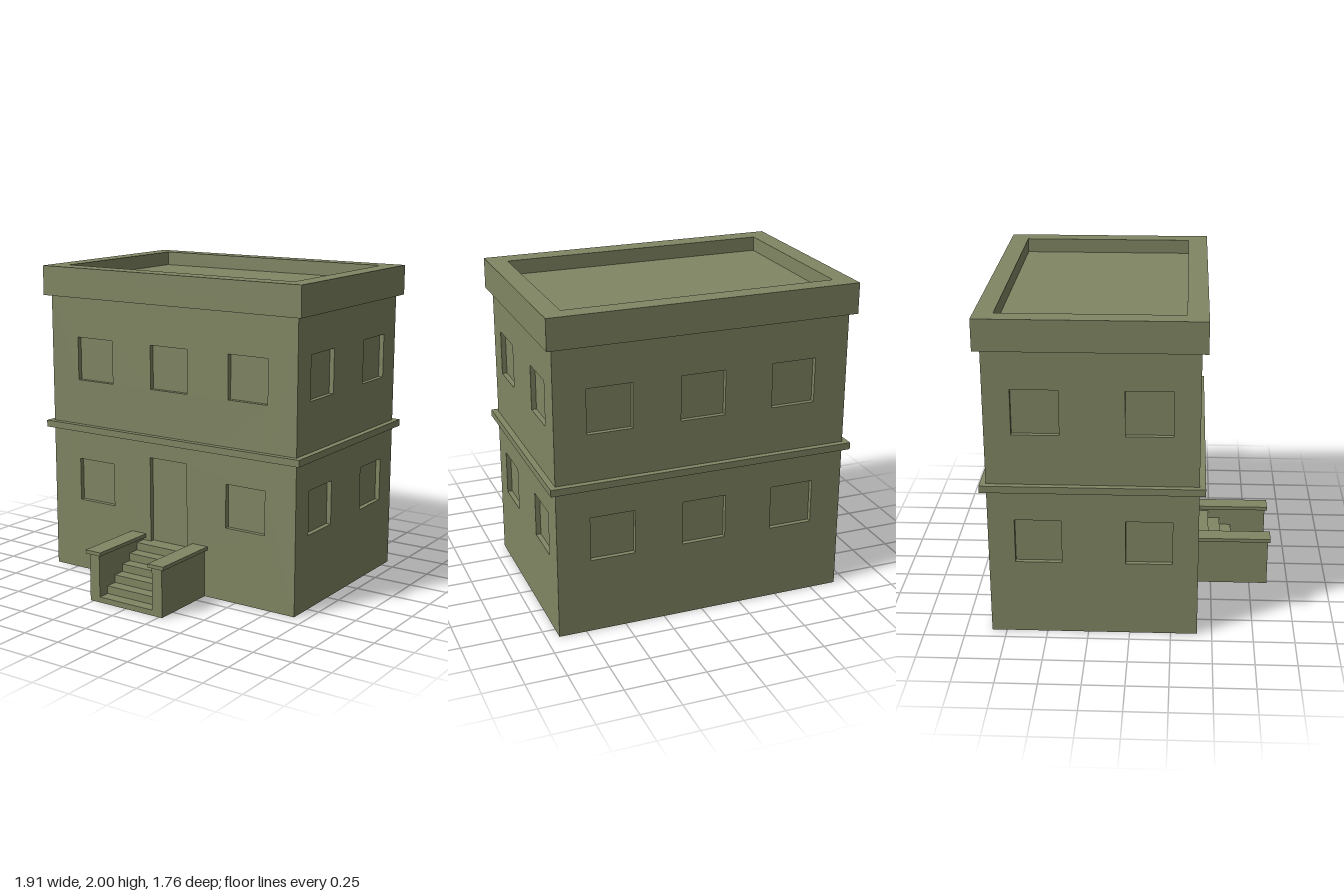
import * as THREE from 'three';

const material = new THREE.MeshStandardMaterial({ color: 0x808663, flatShading: true });
const stairMaterial = material.clone();
stairMaterial.side = THREE.DoubleSide;

const HALF_W = 0.92, FRONT = 0.41, BACK = -0.84, WALL_H = 1.82, RECESS = 0.03;
const MID_Z = (FRONT + BACK) / 2, DEPTH = FRONT - BACK;

function addMesh(parent, name, geometry, mat = material) {
  const mesh = new THREE.Mesh(geometry, mat);
  mesh.name = name;
  parent.add(mesh);
  return mesh;
}

// Box given by its limits on each axis
function addBox(parent, name, [x0, x1], [y0, y1], [z0, z1]) {
  const mesh = addMesh(parent, name, new THREE.BoxGeometry(x1 - x0, y1 - y0, z1 - z0));
  mesh.position.set((x0 + x1) / 2, (y0 + y1) / 2, (z0 + z1) / 2);
  return mesh;
}

function rectangle(Type, x0, x1, y0, y1) {
  return new Type([[x0, y0], [x1, y0], [x1, y1], [x0, y1]].map(p => new THREE.Vector2(...p)));
}

// Thin wall skin in the xy plane, facing +z, with rectangular openings
function wallGeometry(halfWidth, openings) {
  const shape = rectangle(THREE.Shape, -halfWidth, halfWidth, 0, WALL_H);
  shape.holes = openings.map(o => rectangle(THREE.Path, ...o));
  return new THREE.ExtrudeGeometry(shape, { depth: RECESS, bevelEnabled: false });
}

// Row of equal square windows, centred on the given positions
const windowRow = (centres, bottom) =>
  centres.map(c => [c - 0.139, c + 0.139, bottom, bottom + 0.278]);

export function createModel() {
  const model = new THREE.Group();
  model.name = 'building';

  // Core behind the wall skins: its faces are the window panes and the door
  addBox(model, 'panesAndDoor', [-HALF_W + RECESS, HALF_W - RECESS], [0, WALL_H],
    [BACK + RECESS, FRONT - RECESS]);

  // Front wall with door, back wall with six windows
  const front = addMesh(model, 'frontWall', wallGeometry(HALF_W, [
    ...windowRow([-0.57, 0.005, 0.58], 1.274),
    ...windowRow([-0.57, 0.567], 0.472),
    [-0.142, 0.138, 0.285, 0.835],
  ]));
  front.position.z = FRONT - RECESS;

  const back = addMesh(model, 'backWall', wallGeometry(HALF_W, [
    ...windowRow([-0.585, -0.01, 0.57], 1.274),
    ...windowRow([-0.575, 0.005, 0.585], 0.472),
  ]));
  back.rotation.y = Math.PI;
  back.position.z = BACK + RECESS;

  // Side walls, mirrored left and right
  for (const side of [1, -1]) {
    const centres = [0.117, -0.542].map(z => -side * (z - MID_Z));
    const wall = addMesh(model, side > 0 ? 'leftWall' : 'rightWall',
      wallGeometry(DEPTH / 2 - RECESS, [
        ...windowRow(centres, 1.294),
        ...windowRow(centres, 0.472),
      ]));
    wall.rotation.y = side * Math.PI / 2;
    wall.position.set(side * (HALF_W - RECESS), 0, MID_Z);
  }

  // Ledge between the storeys
  addBox(model, 'storeyLedge', [-0.957, 0.957], [0.94, 0.983], [-0.877, 0.447]);

  // Parapet ring and sunken roof
  const ring = rectangle(THREE.Shape, -0.957, 0.957, -0.447, 0.88);
  ring.holes.push(rectangle(THREE.Path, -0.838, 0.838, -0.323, 0.765));
  const parapet = addMesh(model, 'parapet',
    new THREE.ExtrudeGeometry(ring, { depth: 0.19, bevelEnabled: false }));
  parapet.rotation.x = -Math.PI / 2;
  parapet.position.y = 1.81;
  addBox(model, 'roof', [-0.838, 0.838], [1.81, 1.91], [-0.765, 0.323]);

  // Entrance steps: a folded sheet, open underneath
  const stairs = new THREE.Group();
  stairs.name = 'entranceStairs';
  model.add(stairs);
  const stepCount = 6, run = 0.0765, rise = 0.05, stairFront = 0.865;
  for (let i = 0; i < stepCount; i++) {
    const top = 0.035 + i * rise;
    const bottom = Math.max(0, top - rise);
    const z = stairFront - i * run;
    const riser = addMesh(stairs, 'riser', new THREE.PlaneGeometry(0.4, top - bottom), stairMaterial);
    riser.position.set(0, (top + bottom) / 2, z);
    const tread = addMesh(stairs, 'tread', new THREE.PlaneGeometry(0.4, run), stairMaterial);
    tread.rotation.x = -Math.PI / 2;
    tread.position.set(0, top, z - run / 2);
  }

  // Solid side walls of the stairs with overhanging caps
  for (const side of [1, -1]) {
    const span = (a, b) => (side > 0 ? [a, b] : [-b, -a]);
    addBox(stairs, 'stairWall', span(0.2, 0.273), [0, 0.305], [FRONT, stairFront]);
    addBox(stairs, 'stairWallCap', span(0.18, 0.293), [0.305, 0.328], [FRONT, 0.88]);
  }

  return model;
}
